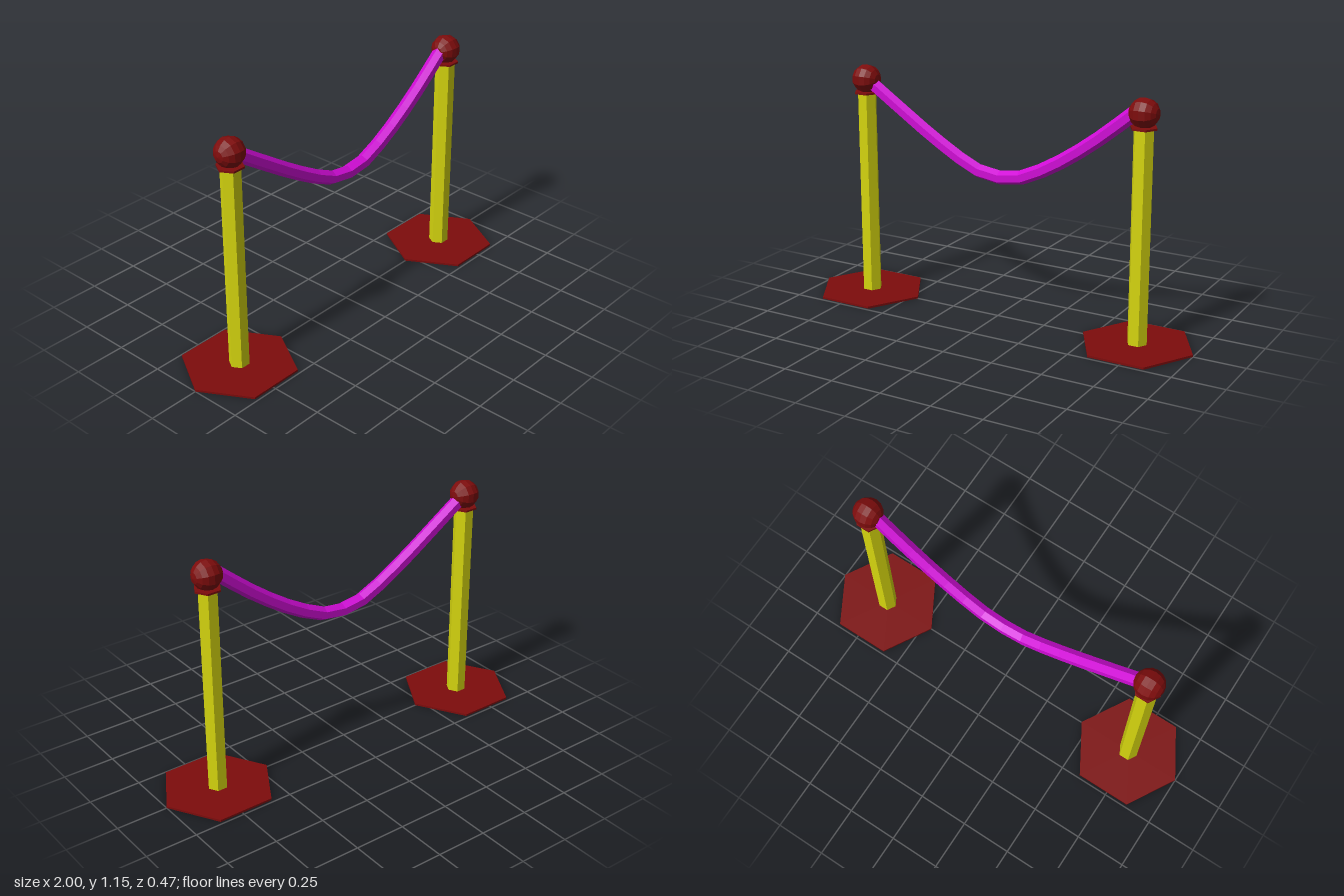
import * as THREE from 'three';

const material = (color) => new THREE.MeshStandardMaterial({ color, flatShading: true });

export function createModel() {
  const model = new THREE.Group();
  model.name = 'ropeBarrier';
  const red = material(0x7d0c0c);
  const yellow = material(0xd6d60e);
  const magenta = material(0xd00cd6);

  const add = (parent, name, geometry, mat) => {
    const mesh = new THREE.Mesh(geometry, mat);
    mesh.name = name;
    parent.add(mesh);
  };

  // Six-sided prism between two heights, with corners on the x axis
  const hexPrism = (radius, bottom, top) =>
    new THREE.CylinderGeometry(radius, radius, top - bottom, 6)
      .rotateY(Math.PI / 6)
      .translate(0, (bottom + top) / 2, 0);

  // Two matching stanchions
  for (const side of [-1, 1]) {
    const stanchion = new THREE.Group();
    stanchion.name = side > 0 ? 'leftStanchion' : 'rightStanchion';
    stanchion.position.x = side * 0.728;
    add(stanchion, 'base', hexPrism(0.272, 0, 0.01), red);
    add(stanchion, 'post', hexPrism(0.048, 0.01, 1.015), yellow);
    add(stanchion, 'collar', hexPrism(0.064, 1.013, 1.022), red);
    // Faceted ball with its poles on the x axis
    const ball = new THREE.SphereGeometry(0.07, 10, 8).rotateZ(Math.PI / 2).translate(0, 1.083, 0);
    add(stanchion, 'ball', ball, red);
    model.add(stanchion);
  }

  // Sagging rope: a hexagon, corner up, swept along the curve
  const path = new THREE.CatmullRomCurve3([
    [-0.69, 1.06], [-0.5, 0.935], [-0.31, 0.815], [-0.1, 0.708], [0.01, 0.692],
    [0.12, 0.706], [0.31, 0.8], [0.5, 0.93], [0.69, 1.085],
  ].map(([x, y]) => new THREE.Vector3(x, y, 0)));
  const section = new THREE.Shape();
  for (let i = 0; i < 6; i++) {
    const a = Math.PI / 2 + (i * Math.PI) / 3;
    const x = 0.034 * Math.cos(a), y = 0.034 * Math.sin(a);
    if (i === 0) section.moveTo(x, y);
    else section.lineTo(x, y);
  }
  section.closePath();
  const rope = new THREE.ExtrudeGeometry(section, { steps: 14, bevelEnabled: false, extrudePath: path });
  add(model, 'rope', rope, magenta);

  return model;
}
